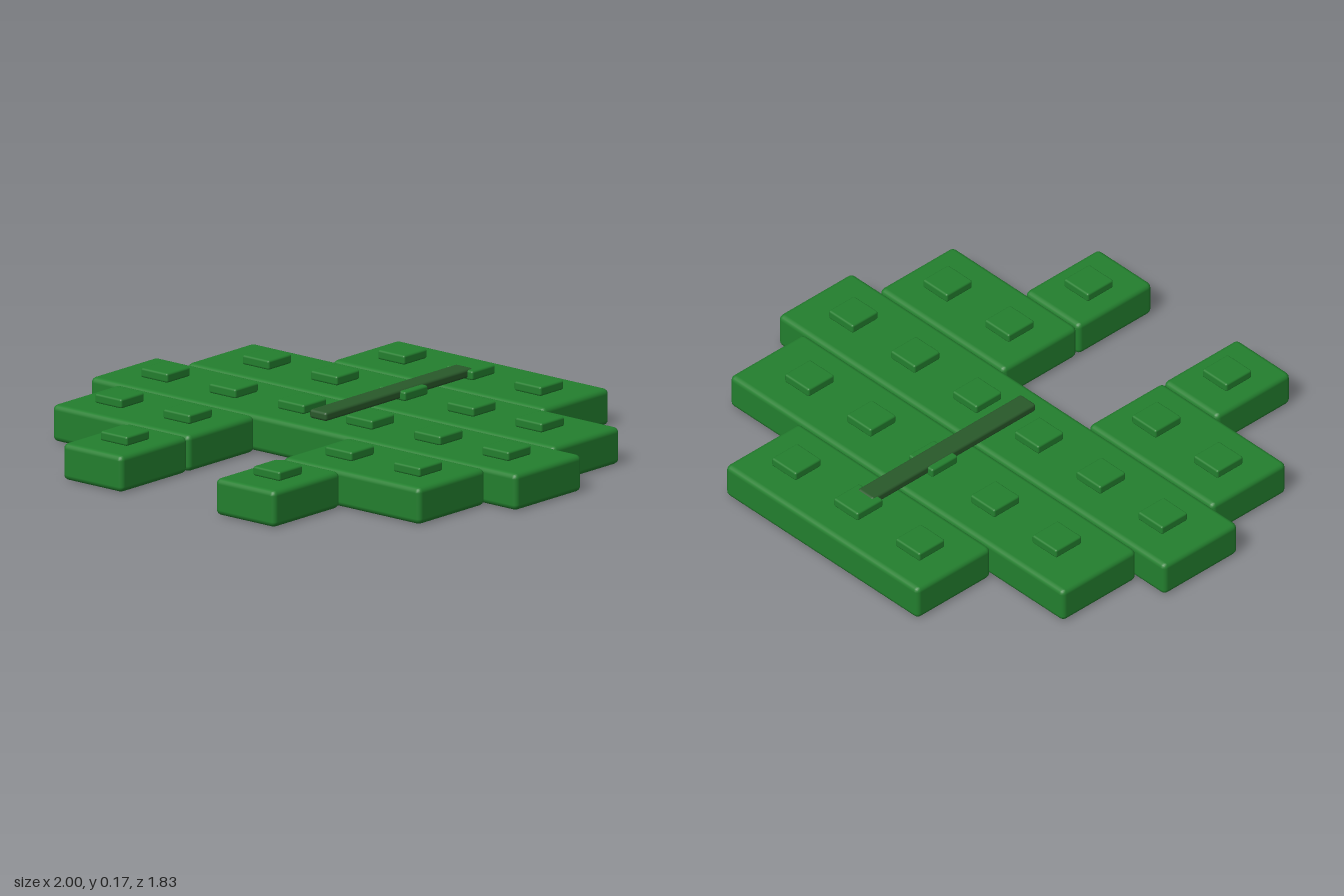
import * as THREE from 'three';
import { RoundedBoxGeometry } from 'three/addons/geometries/RoundedBoxGeometry.js';

const leafGreen = new THREE.MeshStandardMaterial({ color: 0x237f2e });
leafGreen.name = 'leafGreen';
const stemGreen = new THREE.MeshStandardMaterial({ color: 0x29592a });
stemGreen.name = 'stemGreen';

const PITCH = 0.366, DEPTH = 0.362, HEIGHT = 0.135;

// Rounded block given by its limits along each axis
function block(name, [x0, x1], [y0, y1], [z0, z1], radius, material) {
  const geometry = new RoundedBoxGeometry(x1 - x0, y1 - y0, z1 - z0, 2, radius);
  const mesh = new THREE.Mesh(geometry, material);
  mesh.position.set((x0 + x1) / 2, (y0 + y1) / 2, (z0 + z1) / 2);
  mesh.name = name;
  return mesh;
}

export function createModel() {
  const model = new THREE.Group();
  model.name = 'lilyPad';

  // Pad slabs from back to front: row, x limits, stud positions
  const slabs = [
    [-2, [-0.498, 0.498], [-0.32, 0, 0.32]],
    [-1, [-0.863, 0.863], [-0.64, -0.32, 0, 0.32, 0.64]],
    [0, [-1, 1], [-0.8, -0.48, -0.16, 0.16, 0.48, 0.8]],
    [1, [-0.863, -0.218], [-0.7, -0.38]],
    [1, [0.218, 0.863], [0.38, 0.7]],
    [2, [-0.498, -0.218], [-0.358]],
    [2, [0.218, 0.498], [0.358]],
  ];
  for (const [row, xs, studs] of slabs) {
    const z = row * PITCH;
    model.add(block('padSlab', xs, [0, HEIGHT], [z - DEPTH / 2, z + DEPTH / 2], 0.02, leafGreen));
    // Raised square studs
    for (const x of studs) {
      model.add(block('stud', [x - 0.063, x + 0.063], [HEIGHT - 0.001, 0.169],
        [z - 0.063, z + 0.063], 0.008, leafGreen));
    }
  }

  // Stem lying along the middle
  model.add(block('stem', [-0.04, 0.04], [0.14, 0.173], [-0.7, 0.1], 0.01, stemGreen));
  return model;
}
